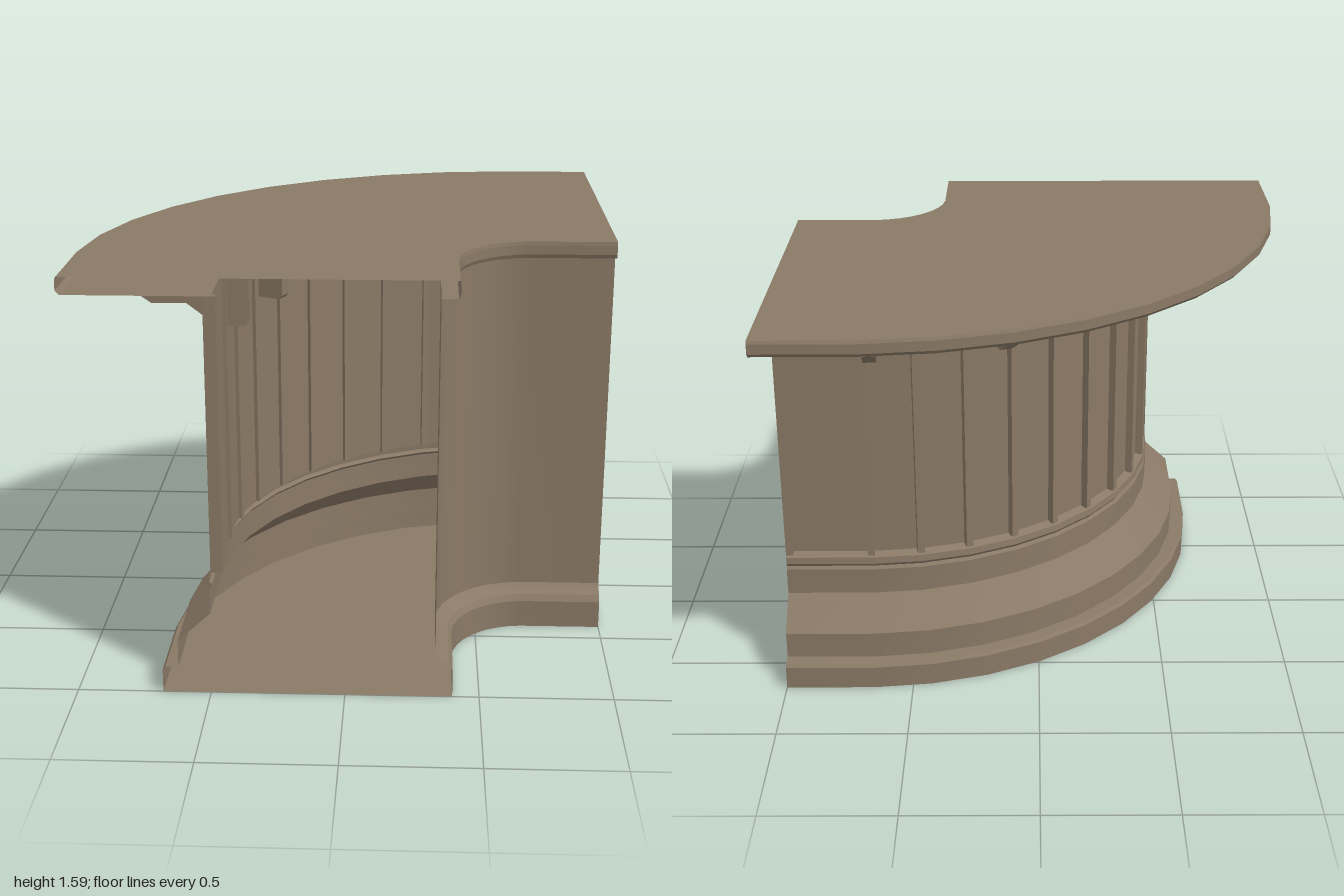
import * as THREE from 'three';

const OUTER = 0.74;   // centre of the outer bend (x and z)
const INNER = 0.70;   // centre of the inner bend
const rad = Math.PI / 180;

const outerAngles = Array.from({ length: 10 }, (_, k) => (3.6 + 9.2 * k) * rad);
const innerAngles = Array.from({ length: 9 }, (_, k) => (3 + 10.5 * k) * rad);

// the outer bend swells slightly toward its middle
const swell = (a) => 0.02 * Math.sin(2 * a);

// plan curves: straight end, rounded corner, straight end
function outerPath(r) {
  const arc = outerAngles.map((a) => {
    const R = r + swell(a);
    return [OUTER - R * Math.cos(a), OUTER - R * Math.sin(a)];
  });
  return [[OUTER - r, 1], ...arc, [1, OUTER - r]];
}
function innerPath(r) {
  const arc = innerAngles.map((a) => [INNER - r * Math.cos(a), INNER - r * Math.sin(a)]);
  return [[INNER - r, 1], ...arc, [1, INNER - r]];
}

export function createModel() {
  const model = new THREE.Group();
  model.name = 'cornerCounter';
  const wood = new THREE.MeshStandardMaterial({ color: 0x8a7966, side: THREE.DoubleSide });
  wood.name = 'brown wood';
  const facetWood = wood;

  function add(name, geometry, parent = model) {
    const mesh = new THREE.Mesh(geometry, facetWood);
    mesh.name = name;
    parent.add(mesh);
    return mesh;
  }

  // Sweep a [radius, height] profile along a plan curve: smooth along the
  // curve, with a sharp edge between the bands of the profile.
  function sweep(name, path, profile, { flat = false, flip = false } = {}) {
    const pos = [], index = [];
    for (let s = 0; s + 1 < profile.length; s++) {
      const base = pos.length / 3;
      const [r0, y0] = profile[s], [r1, y1] = profile[s + 1];
      const low = path(r0), high = path(r1);
      low.forEach(([x, z], i) => pos.push(x, y0, z, high[i][0], y1, high[i][1]));
      for (let i = 0; i + 1 < low.length; i++) {
        const a = base + 2 * i, b = a + 1, c = a + 2, d = a + 3;
        if (flip) index.push(a, c, b, b, c, d);
        else index.push(a, b, c, b, d, c);
      }
    }
    let g = new THREE.BufferGeometry();
    g.setAttribute('position', new THREE.Float32BufferAttribute(pos, 3));
    g.setIndex(index);
    if (flat) g = g.toNonIndexed();
    g.computeVertexNormals();
    return add(name, g);
  }

  // Flat sheet between an outer and an inner plan curve
  function sheet(name, outerR, innerR, y, down) {
    const outline = [...outerPath(outerR), ...innerPath(innerR).reverse()];
    const g = new THREE.ShapeGeometry(new THREE.Shape(outline.map(([x, z]) => new THREE.Vector2(x, -z))));
    g.rotateX(-Math.PI / 2);
    if (down) {
      const ix = g.index.array;
      for (let i = 0; i < ix.length; i += 3) [ix[i], ix[i + 1]] = [ix[i + 1], ix[i]];
      g.computeVertexNormals();
    }
    g.translate(0, y, 0);
    add(name, g);
  }

  // Worktop, with a rolled outer edge and its underside, and a lip inside
  sheet('counterTop', 1.735, 0.30, 1.594, false);
  sweep('counterTopEdge', outerPath,
    [[1.2, 1.53], [1.725, 1.53], [1.74, 1.545], [1.74, 1.582], [1.735, 1.594]], { flip: true });
  sweep('counterTopInnerLip', innerPath,
    [[0.365, 1.53], [0.305, 1.53], [0.298, 1.545], [0.298, 1.58], [0.30, 1.594]]);

  // Floor sheet and stepped plinth
  sheet('floor', 1.42, 0.30, 0, true);
  sweep('plinth', outerPath, [
    [1.42, 0], [1.42, 0.09], [1.41, 0.102], [1.36, 0.105], [1.36, 0.21],
    [1.235, 0.325], [1.235, 0.43], [1.225, 0.442], [1.235, 0.455], [1.232, 0.482], [1.2, 0.495],
  ], { flip: true });

  // Panelled front with a top rail
  sweep('frontPanels', outerPath, [[1.2, 0.49], [1.2, 1.53]], { flat: true, flip: true });
  sweep('topRail', outerPath, [[1.2, 1.475], [1.225, 1.485], [1.225, 1.53]], { flat: true, flip: true });

  // Inner wall with a flared foot
  sweep('innerWall', innerPath, [
    [0.30, 0], [0.30, 0.11], [0.315, 0.135], [0.35, 0.15], [0.365, 0.165], [0.365, 1.53],
  ]);

  // Vertical ribs at every panel joint and at both ends
  const ribGeometry = new THREE.BoxGeometry(0.045, 1.04, 0.028);
  function rib(x, z, angle, r) {
    const g = new THREE.Group();
    g.name = 'ribMount';
    g.position.set(x, 0, z);
    g.rotation.y = -angle;
    add('rib', ribGeometry, g).position.set(-r, 1.01, 0);
    model.add(g);
  }
  outerAngles.forEach((a) => rib(OUTER, OUTER, a, 1.207 + swell(a)));
  rib(OUTER, 0.986, 0, 1.207);
  rib(0.986, OUTER, Math.PI / 2, 1.207);

  // Shaped brackets under the overhang, running through the panels
  const outline = [
    [1.69, 1.53], [1.69, 1.515], [1.57, 1.47], [1.47, 1.405], [1.34, 1.41],
    [1.23, 1.33], [1.12, 1.33], [1.105, 1.345], [1.105, 1.53],
  ].map(([r, y]) => new THREE.Vector2(-r, y));
  const bracketGeometry = new THREE.ExtrudeGeometry(new THREE.Shape(outline), { depth: 0.05, bevelEnabled: false });
  bracketGeometry.translate(0, 0, -0.025);
  for (const deg of [5, 25, 45, 65, 85]) {
    const bracket = add('bracket', bracketGeometry);
    bracket.position.set(OUTER, 0, OUTER);
    bracket.rotation.y = -deg * rad;
  }

  return model;
}
